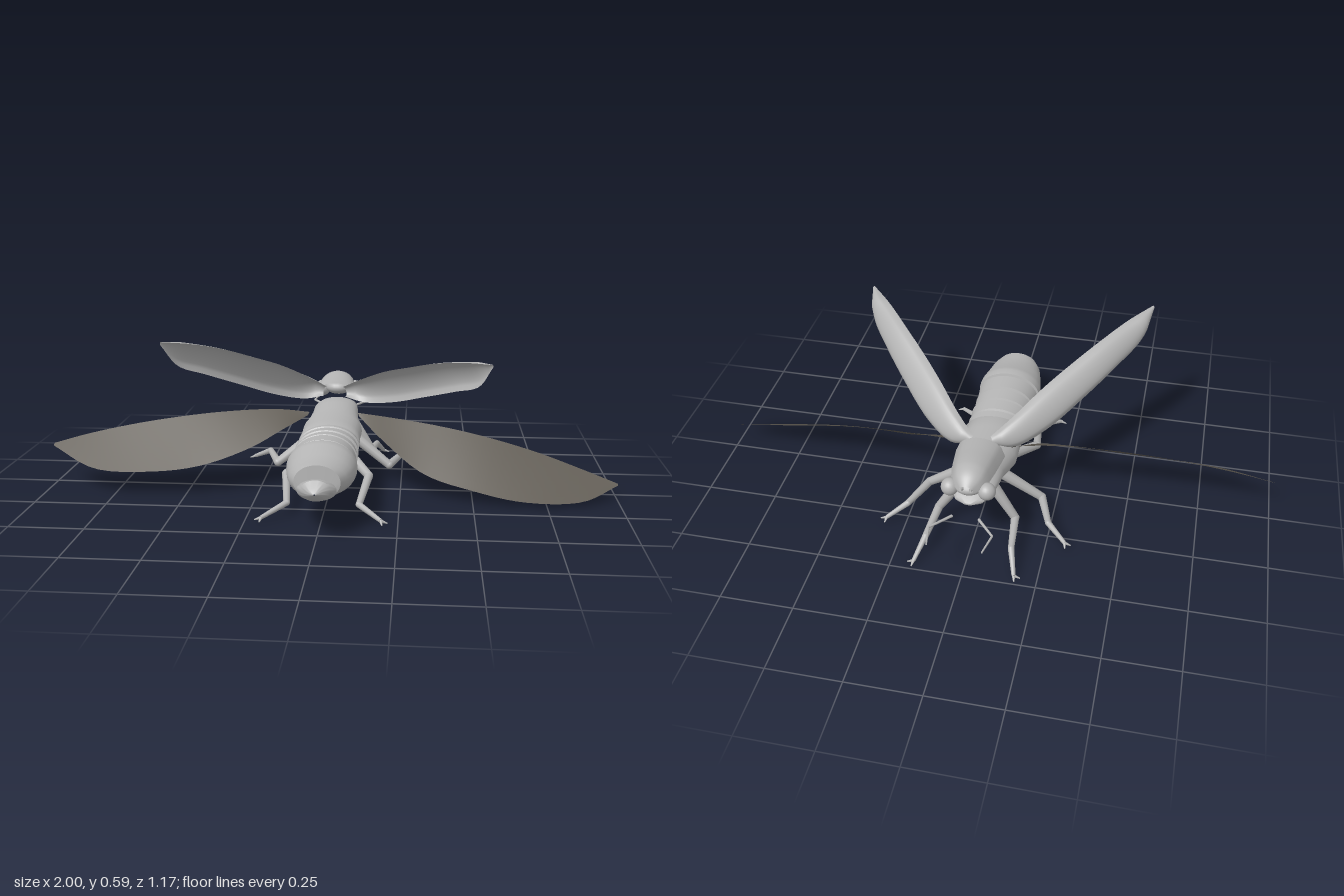
import * as THREE from 'three';
import { toCreasedNormals } from 'three/addons/utils/BufferGeometryUtils.js';

const shell = new THREE.MeshStandardMaterial({ color: 0xb4b4b4 });
shell.name = 'grey shell';
const shellThin = new THREE.MeshStandardMaterial({ color: 0xb4b4b4, side: THREE.DoubleSide });
shellThin.name = 'grey thin shell';
const membrane = new THREE.MeshStandardMaterial({ color: 0x5f5a52, side: THREE.DoubleSide });
membrane.name = 'dark membrane';

const V = (p) => new THREE.Vector3(...p);
const UP = new THREE.Vector3(0, 1, 0);

function add(parent, name, geometry, material = shell) {
  const mesh = new THREE.Mesh(geometry, material);
  mesh.name = name;
  parent.add(mesh);
  return mesh;
}

function grid(rows, cols, pointAt) {
  const pos = [], index = [];
  for (let i = 0; i <= rows; i++) {
    for (let j = 0; j <= cols; j++) {
      pos.push(...pointAt(i, j).toArray());
      if (i < rows && j < cols) {
        const a = i * (cols + 1) + j, b = a + cols + 1;
        index.push(a, b, a + 1, b, b + 1, a + 1);
      }
    }
  }
  const g = new THREE.BufferGeometry();
  g.setAttribute('position', new THREE.Float32BufferAttribute(pos, 3));
  g.setIndex(index);
  g.computeVertexNormals();
  return g;
}

// Thin surface between two edge curves, arched along its normal
function sheet(edgeA, edgeB, bulge = 0, rows = 28, cols = 12) {
  const a = new THREE.CatmullRomCurve3(edgeA.map(V)), b = new THREE.CatmullRomCurve3(edgeB.map(V));
  return grid(rows, cols, (i, j) => {
    const t = i / rows, v = j / cols;
    const p = a.getPoint(t), q = b.getPoint(t);
    const across = q.clone().sub(p);
    const normal = across.clone().cross(a.getTangent(t).add(b.getTangent(t))).normalize();
    const height = Math.min(Math.abs(bulge), across.length() * 0.45) * Math.sign(bulge);
    return p.lerp(q, v).addScaledVector(normal, height * Math.sqrt(4 * v * (1 - v)));
  });
}

// Elliptical loft along z; each section is [z, top, bottom, half width]
function loft(sections, cols = 32) {
  const g = grid(sections.length - 1, cols, (i, j) => {
    const [z, top, bottom, half] = sections[i];
    const a = (j / cols) * Math.PI * 2;
    return new THREE.Vector3(half * Math.cos(a), (top + bottom) / 2 + (top - bottom) / 2 * Math.sin(a), z);
  });
  return toCreasedNormals(g, 0.7);
}

function rod(parent, name, from, to, r0, r1) {
  const a = V(from), b = V(to);
  const mesh = add(parent, name, new THREE.CylinderGeometry(r1, r0, a.distanceTo(b), 10));
  mesh.position.copy(a).lerp(b, 0.5);
  mesh.quaternion.setFromUnitVectors(UP, b.sub(a).normalize());
}

function ball(parent, name, at, radius, scale = [1, 1, 1]) {
  const mesh = add(parent, name, new THREE.SphereGeometry(radius, 20, 14));
  mesh.position.set(...at);
  mesh.scale.set(...scale);
}

export function createModel() {
  const model = new THREE.Group();
  model.name = 'flyingBeetle';

  // Segmented abdomen, running from the tail forward
  add(model, 'abdomen', loft([
    [0.587, 0.167, 0.163, 0.003], [0.572, 0.182, 0.15, 0.025], [0.55, 0.2, 0.132, 0.048],
    [0.515, 0.192, 0.122, 0.063], [0.506, 0.19, 0.13, 0.055],
    [0.503, 0.234, 0.122, 0.074], [0.47, 0.237, 0.117, 0.092], [0.41, 0.243, 0.105, 0.106],
    [0.36, 0.264, 0.087, 0.114], [0.34, 0.267, 0.085, 0.116], [0.316, 0.264, 0.088, 0.115],
    [0.312, 0.25, 0.1, 0.102], [0.303, 0.262, 0.089, 0.112], [0.236, 0.26, 0.092, 0.106],
    [0.231, 0.247, 0.105, 0.096], [0.222, 0.259, 0.094, 0.109], [0.172, 0.255, 0.1, 0.103],
    [0.167, 0.243, 0.112, 0.094], [0.158, 0.256, 0.102, 0.109], [0.108, 0.252, 0.112, 0.102],
    [0.103, 0.242, 0.122, 0.093], [0.094, 0.253, 0.114, 0.107], [0.05, 0.25, 0.122, 0.1]]));

  // Thorax tapering to a flat point under the head
  add(model, 'thorax', loft([
    [0.08, 0.246, 0.125, 0.09], [0.06, 0.252, 0.12, 0.107], [0, 0.255, 0.122, 0.104],
    [-0.09, 0.258, 0.125, 0.106], [-0.14, 0.262, 0.138, 0.094], [-0.2, 0.27, 0.165, 0.084],
    [-0.25, 0.272, 0.185, 0.082], [-0.32, 0.262, 0.2, 0.072], [-0.37, 0.243, 0.213, 0.048],
    [-0.388, 0.231, 0.222, 0.015], [-0.39, 0.227, 0.226, 0.001]]));

  // Arched neck shield with head and eyes beneath its front
  const rim = [[0.085, 0.285, -0.19], [0.079, 0.292, -0.25], [0.07, 0.3, -0.32], [0.055, 0.3, -0.375], [0.025, 0.3, -0.412]];
  add(model, 'neckShield', sheet(rim.map(([x, y, z]) => [-x, y, z]), rim, 0.06), shellThin);
  ball(model, 'head', [0, 0.293, -0.365], 0.05, [1, 0.55, 0.9]);

  for (const s of [1, -1]) {
    const side = s > 0 ? 'left' : 'right';
    const m = ([x, y, z]) => [x * s, y, z];
    ball(model, side + 'Eye', m([0.062, 0.285, -0.378]), 0.03);
    rod(model, side + 'Palp', m([0.012, 0.3, -0.39]), m([0.017, 0.31, -0.418]), 0.007, 0.004);

    // Bent antenna
    const feeler = [[0.045, 0.2, -0.425], [0.105, 0.207, -0.5], [0.09, 0.215, -0.587]].map(m);
    rod(model, side + 'AntennaBase', feeler[0], feeler[1], 0.005, 0.004);
    rod(model, side + 'AntennaTip', feeler[1], feeler[2], 0.004, 0.003);

    // Three legs: hip, knee, ankle, foot
    const legs = {
      Front: [[0.05, 0.21, -0.25], [0.135, 0.075, -0.257], [0.148, 0.062, -0.395], [0.172, 0.014, -0.472]],
      Middle: [[0.06, 0.17, -0.14], [0.205, 0.058, -0.115], [0.25, 0.064, -0.25], [0.315, 0.028, -0.298]],
      Hind: [[0.05, 0.14, -0.02], [0.143, 0.09, 0.13], [0.12, 0.045, 0.31], [0.195, 0.017, 0.385]],
    };
    for (const [place, raw] of Object.entries(legs)) {
      const leg = new THREE.Group();
      leg.name = side + place + 'Leg';
      model.add(leg);
      const p = raw.map(m);
      const r = [0.021, 0.015, 0.011, 0.007];
      for (let i = 0; i < 3; i++) {
        ball(leg, 'joint', p[i], r[i]);
        rod(leg, ['thigh', 'shin', 'foot'][i], p[i], p[i + 1], r[i], r[i + 1]);
      }
      const dz = Math.sign(raw[3][2]);
      for (const k of [[0.022, -0.008, 0], [0.004, -0.01, 0.018 * dz]])
        rod(leg, 'claw', p[3], m(raw[3].map((c, i) => c + k[i])), 0.006, 0.002);
    }
  }

  // Raised wing cases; the right one is lifted a little higher
  const lower = [[0.04, 0.3, -0.16], [0.11, 0.283, -0.15], [0.21, 0.302, -0.075], [0.33, 0.355, 0.06],
    [0.43, 0.405, 0.19], [0.5, 0.445, 0.295], [0.535, 0.525, 0.388]];
  const upper = [[0.03, 0.335, -0.165], [0.1, 0.378, -0.1], [0.185, 0.428, 0], [0.27, 0.465, 0.1],
    [0.36, 0.5, 0.2], [0.45, 0.525, 0.305], [0.532, 0.537, 0.392]];
  const lift = ([x, y, z]) => [-0.95 * x, y + 0.1 * x, 0.97 * z];
  add(model, 'leftWingCase', sheet(lower, upper, 0.03), shellThin);
  add(model, 'rightWingCase', sheet(lower.map(lift), upper.map(lift), -0.03), shellThin);

  // Flat flight wings, spread at slightly different angles
  add(model, 'leftFlightWing', sheet(
    [[0.09, 0.255, -0.1], [0.2, 0.245, -0.085], [0.37, 0.225, -0.06], [0.54, 0.195, -0.035],
      [0.72, 0.15, -0.01], [0.88, 0.1, 0.025], [1, 0.06, 0.055]],
    [[0.095, 0.245, -0.09], [0.18, 0.185, 0], [0.33, 0.09, 0.095], [0.5, 0.05, 0.15],
      [0.67, 0.022, 0.172], [0.87, 0.018, 0.14], [1, 0.055, 0.06]]), membrane);
  add(model, 'rightFlightWing', sheet(
    [[-0.085, 0.255, -0.1], [-0.2, 0.267, -0.085], [-0.37, 0.262, -0.06], [-0.54, 0.245, -0.037],
      [-0.72, 0.217, -0.015], [-0.88, 0.183, 0.005], [-1, 0.15, 0.02]],
    [[-0.09, 0.245, -0.09], [-0.17, 0.212, -0.01], [-0.28, 0.16, 0.065], [-0.45, 0.108, 0.125],
      [-0.62, 0.09, 0.148], [-0.82, 0.092, 0.135], [-1, 0.143, 0.03]]), membrane);

  return model;
}
